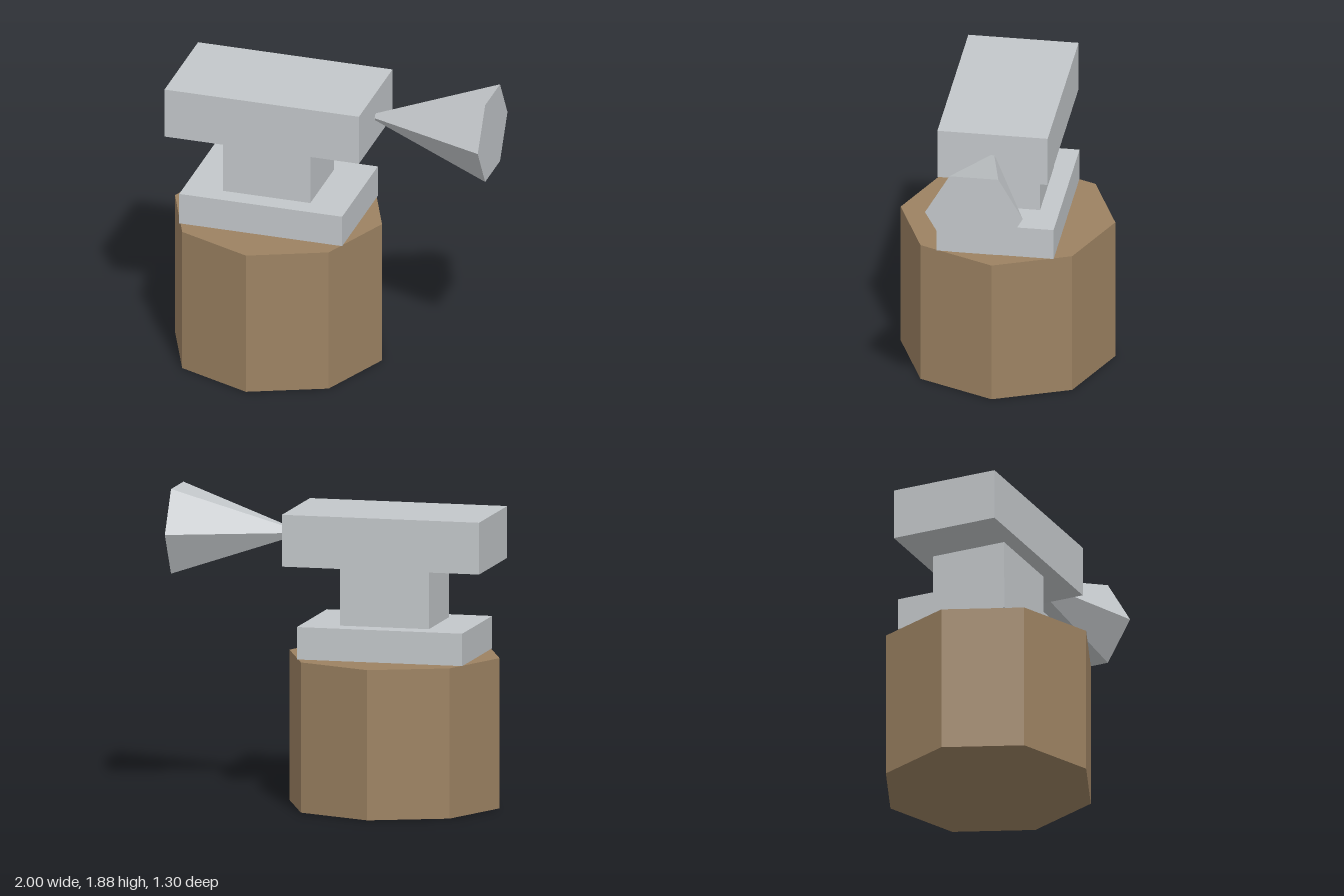
import * as THREE from 'three';

export function createModel() {
  const group = new THREE.Group();
  const wood = new THREE.MeshStandardMaterial({ color: 0x9c8262, flatShading: true });
  wood.name = 'wood';
  const steel = new THREE.MeshStandardMaterial({ color: 0xc3c7ca, flatShading: true });
  steel.name = 'steel';

  const add = (name, geometry, material, x, y) => {
    const mesh = new THREE.Mesh(geometry, material);
    mesh.name = name;
    mesh.position.set(x, y, 0);
    group.add(mesh);
  };

  // Octagonal wooden stump
  const axis = -0.348;
  add('stump', new THREE.CylinderGeometry(0.652, 0.652, 0.913, 8), wood, axis, 0.4565);

  // Anvil body: stacked blocks, [name, width, bottom, top, depth]
  const blocks = [
    ['anvilFoot', 1.026, 0.913, 1.11, 0.712],
    ['anvilWaist', 0.55, 1.11, 1.47, 0.474],
    ['anvilFace', 1.224, 1.47, 1.785, 0.67],
  ];
  for (const [name, width, bottom, top, depth] of blocks) {
    add(name, new THREE.BoxGeometry(width, top - bottom, depth), steel, axis, (bottom + top) / 2);
  }

  // Six-sided horn, its tip buried in the face block and its wide end outward
  const hornLength = 0.793;
  const horn = new THREE.ConeGeometry(0.297, hornLength, 6);
  horn.rotateZ(Math.PI / 2);
  add('anvilHorn', horn, steel, 1 - hornLength / 2, 1.627);

  return group;
}
